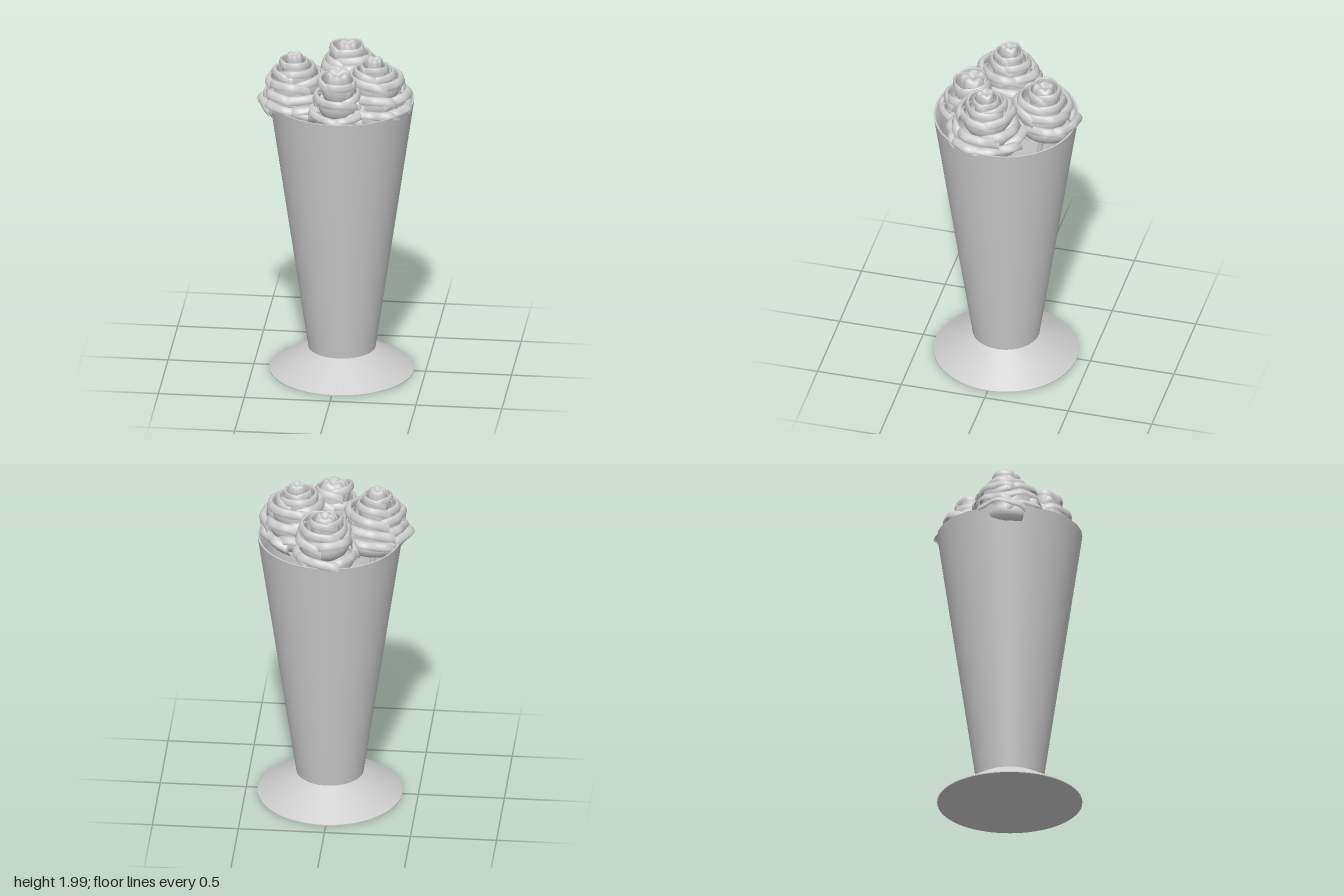
import * as THREE from 'three';
import { toCreasedNormals } from 'three/addons/utils/BufferGeometryUtils.js';

const material = new THREE.MeshStandardMaterial({ color: 0xcccccc, side: THREE.DoubleSide });
const v2 = (x, y) => new THREE.Vector2(x, y);

function seeded(seed) {
  let s = seed;
  return () => (s = (s * 16807) % 2147483647) / 2147483647;
}

function addMesh(parent, geometry, name) {
  const mesh = new THREE.Mesh(geometry, material);
  mesh.name = name;
  parent.add(mesh);
  return mesh;
}

// Side profile of one petal: cupped base, upright wall, rim rolled outward
const petalProfile = new THREE.SplineCurve([
  v2(0.15, -1), v2(0.62, -0.85), v2(0.84, -0.5), v2(0.8, -0.12),
  v2(0.84, 0), v2(0.94, -0.03), v2(1.0, -0.16), v2(0.99, -0.24),
]);

// A curved sheet swept round the flower axis, with a wavy drooping rim
function petalGeometry(radius, height, angle, span, rand) {
  const nu = 22, nv = 16;
  const p1 = rand() * 6.28, p2 = rand() * 6.28;
  const scale = 0.95 + rand() * 0.1;
  const positions = [], index = [];
  for (let j = 0; j <= nv; j++) {
    const v = j / nv;
    const p = petalProfile.getPoint(v);
    for (let i = 0; i <= nu; i++) {
      const u = (i / nu) * 2 - 1;
      const a = angle + u * span / 2;
      const wave = v * v * (0.045 * Math.sin(4 * u + p1) + 0.025 * Math.sin(9 * u + p2));
      const r = radius * scale * (p.x + wave) * (1 + 0.06 * u - 0.07 * u ** 4 * v);
      const y = height * (p.y - 0.28 * v * Math.abs(u) ** 3) + radius * wave * 0.9;
      positions.push(r * Math.sin(a), y, r * Math.cos(a));
      if (i < nu && j < nv) {
        const k = j * (nu + 1) + i;
        index.push(k, k + 1, k + nu + 2, k, k + nu + 2, k + nu + 1);
      }
    }
  }
  const geometry = new THREE.BufferGeometry();
  geometry.setAttribute('position', new THREE.Float32BufferAttribute(positions, 3));
  geometry.setIndex(index);
  geometry.computeVertexNormals();
  return geometry;
}

// Folded bud in the heart of the flower
function budGeometry(radius) {
  const profile = new THREE.SplineCurve([
    v2(0.6, -2.4), v2(1, -1.1), v2(0.95, -0.3), v2(0.7, 0), v2(0.35, -0.1), v2(0.001, -0.3),
  ]);
  const geometry = new THREE.LatheGeometry(profile.getPoints(18).map(p => p.multiplyScalar(radius)), 30);
  const pos = geometry.attributes.position;
  for (let i = 0; i < pos.count; i++) {
    const x = pos.getX(i), z = pos.getZ(i);
    const r = Math.hypot(x, z), a = Math.atan2(x, z);
    const fold = 1 + 0.09 * Math.sin(3 * a + 25 * r) + 0.04 * Math.sin(7 * a);
    pos.setXYZ(i, x * fold, pos.getY(i) + 0.12 * r * Math.sin(5 * a + 30 * r), z * fold);
  }
  geometry.computeVertexNormals();
  return geometry;
}

// layers: [rim radius, rim level below the top, petal count, cup height, x shift, z shift]
function createRose({ x, y, z, tilt, bud, layers, seed }) {
  const rose = new THREE.Group();
  rose.name = 'rose';
  const rand = seeded(seed);
  addMesh(rose, budGeometry(bud), 'roseBud');
  layers.forEach(([radius, drop, count, height, dx = 0, dz = 0]) => {
    const start = rand() * Math.PI * 2;
    for (let i = 0; i < count; i++) {
      const angle = start + (i + 0.25 * rand()) * Math.PI * 2 / count;
      const petal = addMesh(rose, petalGeometry(radius, height, angle, Math.PI * 2.9 / count, rand), 'petal');
      petal.position.set(dx, -drop + (rand() - 0.5) * 0.02, dz);
    }
  });
  rose.position.set(x, y, z);
  rose.rotation.set(tilt[0], 0, tilt[1]);
  return rose;
}

// Hollow conical vase on a flared foot
function createVase() {
  const profile = [
    v2(0, 0), v2(0.42, 0), v2(0.42, 0.006), v2(0.195, 0.14), v2(0.42, 1.7),
    v2(0.41, 1.7), v2(0.39, 1.67), v2(0.375, 1.6), v2(0.17, 0.18), v2(0, 0.18),
  ];
  const geometry = toCreasedNormals(new THREE.LatheGeometry(profile, 72), 0.45);
  const vase = new THREE.Mesh(geometry, material);
  vase.name = 'vase';
  return vase;
}

export function createModel() {
  const model = new THREE.Group();
  model.name = 'vaseOfRoses';
  const vase = createVase();
  vase.position.x = 0.013;
  model.add(vase);

  const roses = [
    { // left side of the front
      x: -0.26, y: 1.985, z: 0.05, tilt: [0, 0.04], bud: 0.05, seed: 11,
      layers: [[0.085, 0.03, 3, 0.14], [0.125, 0.07, 3, 0.16], [0.17, 0.12, 4, 0.18],
        [0.2, 0.18, 5, 0.18, 0.01, 0.01], [0.225, 0.25, 5, 0.16, 0.03, 0.01]],
    },
    { // right side of the front
      x: 0.21, y: 1.985, z: 0.07, tilt: [0, -0.04], bud: 0.05, seed: 29,
      layers: [[0.08, 0.03, 3, 0.14], [0.125, 0.06, 3, 0.16], [0.165, 0.1, 4, 0.18, 0.01],
        [0.2, 0.17, 5, 0.18, 0.01], [0.235, 0.25, 6, 0.16, -0.01, 0.01]],
    },
    { // front
      x: 0.01, y: 1.94, z: 0.2, tilt: [0.1, 0], bud: 0.075, seed: 47,
      layers: [[0.11, 0.02, 3, 0.17, 0, 0.02], [0.135, 0.1, 3, 0.17, 0, 0.04],
        [0.17, 0.19, 4, 0.14, 0, 0.05]],
    },
    { // back
      x: 0.02, y: 1.95, z: -0.23, tilt: [-0.05, 0], bud: 0.06, seed: 83,
      layers: [[0.1, 0.01, 3, 0.16, 0, 0], [0.14, 0.05, 3, 0.18, 0.01, 0.01],
        [0.17, 0.1, 4, 0.18, 0.01, 0], [0.19, 0.19, 5, 0.17, -0.01, -0.02]],
    },
  ];
  roses.forEach(spec => {
    model.add(createRose(spec));
    // Stem hidden in the vase
    const path = new THREE.CatmullRomCurve3([
      new THREE.Vector3(spec.x, spec.y - 0.2, spec.z),
      new THREE.Vector3(spec.x * 0.75, 1.2, spec.z * 0.75),
      new THREE.Vector3(spec.x * 0.3, 0.19, spec.z * 0.3),
    ]);
    addMesh(model, new THREE.TubeGeometry(path, 16, 0.014, 8), 'stem');
  });
  return model;
}
